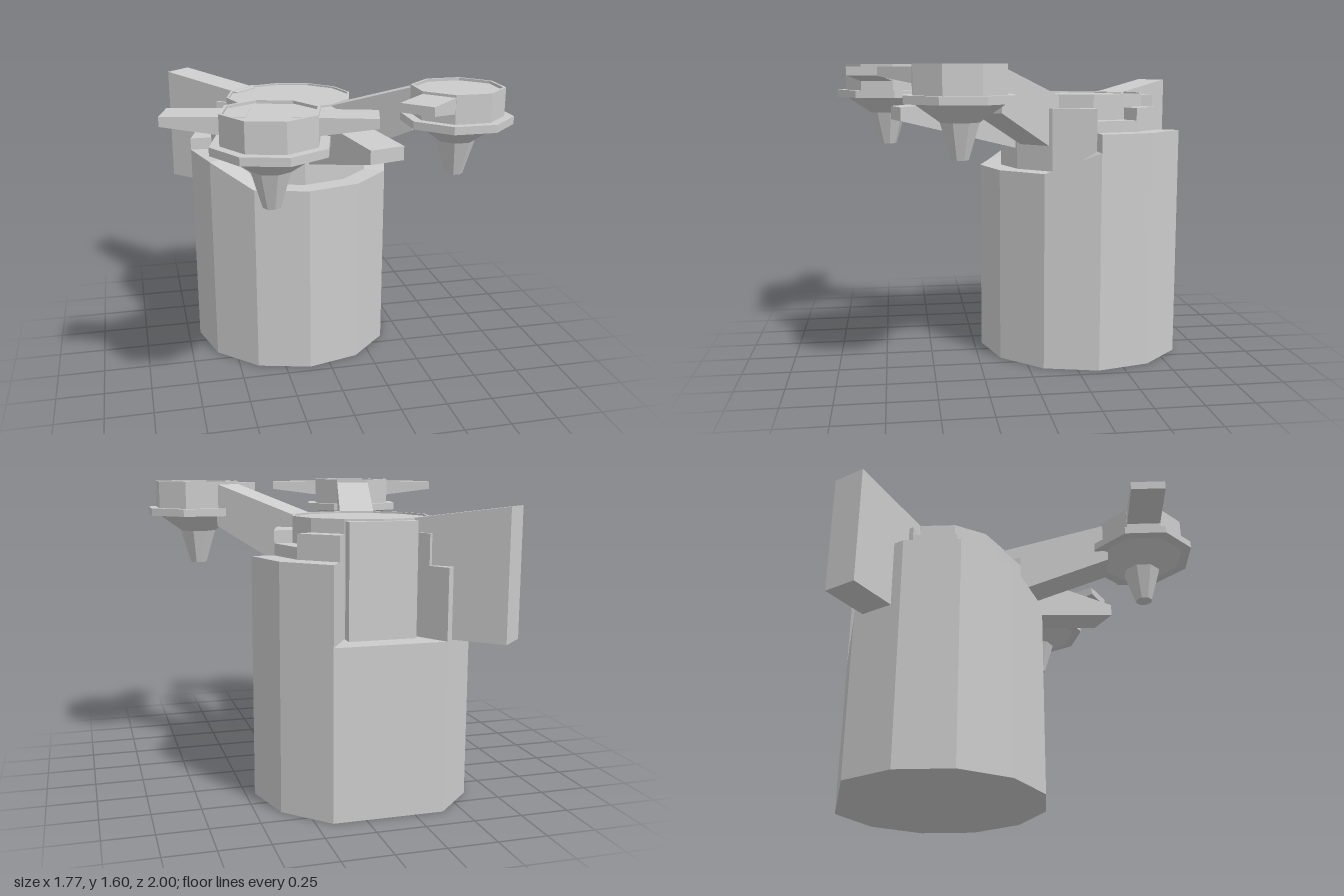
import * as THREE from 'three';

const material = new THREE.MeshStandardMaterial({ color: 0xcccccc, flatShading: true });
const CX = -0.115, CZ = -0.36; // axis of the drum
const rad = THREE.MathUtils.degToRad;

// Point at a distance and heading from a centre; heading 0 faces +z, 90 faces +x
const polar = (cx, cz, r, deg) => [cx + r * Math.sin(rad(deg)), cz + r * Math.cos(rad(deg))];

// Solid over a convex footprint; each corner is [x, z, bottomY, topY]
function prism(corners) {
  let area = 0;
  const n = corners.length;
  corners.forEach((p, i) => {
    const q = corners[(i + 1) % n];
    area += p[0] * q[1] - p[1] * q[0];
  });
  const c = area > 0 ? [...corners].reverse() : corners;
  const lo = (i) => [c[i % n][0], c[i % n][2], c[i % n][1]];
  const hi = (i) => [c[i % n][0], c[i % n][3], c[i % n][1]];
  const pos = [];
  for (let i = 0; i < n; i++) {
    pos.push(...lo(i), ...lo(i + 1), ...hi(i + 1), ...lo(i), ...hi(i + 1), ...hi(i));
    if (i > 0 && i < n - 1) {
      pos.push(...hi(0), ...hi(i), ...hi(i + 1), ...lo(0), ...lo(i + 1), ...lo(i));
    }
  }
  const g = new THREE.BufferGeometry();
  g.setAttribute('position', new THREE.Float32BufferAttribute(pos, 3));
  g.computeVertexNormals();
  return g;
}

// Radial bar from distance d0 to d1, with [bottom, top] heights at each end
function beam(cx, cz, deg, d0, d1, width, start, end) {
  const sx = Math.cos(rad(deg)) * width / 2, sz = -Math.sin(rad(deg)) * width / 2;
  const [ax, az] = polar(cx, cz, d0, deg);
  const [bx, bz] = polar(cx, cz, d1, deg);
  return prism([
    [ax - sx, az - sz, ...start], [ax + sx, az + sz, ...start],
    [bx + sx, bz + sz, ...end], [bx - sx, bz - sz, ...end],
  ]);
}

// 30 degree wall segment of a ring, with its top height at both ends
function segment(r0, r1, deg, bottom, h0, h1) {
  return prism([
    [...polar(CX, CZ, r0, deg), bottom, h0], [...polar(CX, CZ, r1, deg), bottom, h0],
    [...polar(CX, CZ, r1, deg + 30), bottom, h1], [...polar(CX, CZ, r0, deg + 30), bottom, h1],
  ]);
}

function lathe(profile, sides, start) {
  return new THREE.LatheGeometry(profile.map(([r, y]) => new THREE.Vector2(r, y)), sides, start);
}

export function createModel() {
  const model = new THREE.Group();
  const add = (name, geometry, parent = model) => {
    const mesh = new THREE.Mesh(geometry, material);
    mesh.name = name;
    parent.add(mesh);
    return mesh;
  };

  // Twelve-sided drum with a flat back
  const foot = [];
  for (let a = -150; a <= 150; a += 30) foot.push([...polar(CX, CZ, 0.567, a), 0, 0.86]);
  add('drum', prism(foot));

  // Outer wall: [heading, top at start, top at end]
  const outer = [
    [-150, 1.215, 1.215], [-120, 1.215, 1.215], [-90, 1.15, 1.15], [-60, 1.15, 1.04],
    [-30, 1.04, 1.04], [0, 1.04, 1.04], [30, 1.04, 1.04], [60, 1.04, 1.15],
    [90, 1.245, 1.245], [120, 1.245, 1.245],
  ];
  for (const [a, h0, h1] of outer) add('outerWall', segment(0.33, 0.567, a, 0.86, h0, h1));

  // Inner stepped collar
  const collar = [1.37, 1.32, 1.32, 1.32, 1.37, 1.37, 1.37, 1.37, 1.305, 1.37];
  collar.forEach((h, i) => add('collar', segment(0.3, 0.45, -150 + i * 30, 1.0, h, h)));

  // Hub with a slightly sunken cap
  const hub = add('hub', lathe(
    [[0, 0.86], [0.355, 0.86], [0.355, 1.44], [0.342, 1.44], [0.342, 1.43], [0, 1.43]], 12, 0));
  hub.position.set(CX, 0, CZ);
  const back = add('backBlock', new THREE.BoxGeometry(0.345, 0.57, 0.2));
  back.position.set(CX, 1.145, -0.63);

  // Upright fin at the rear
  add('rearFin', beam(CX, CZ, -135, 0.3, 0.82, 0.18, [0.86, 1.435], [0.86, 1.505]));

  // Arms reaching forward from the hub
  add('leftArm', beam(CX, CZ, 45, 0.33, 0.83, 0.185, [1.125, 1.43], [1.36, 1.588]));
  add('rightArm', beam(CX, CZ, -15, 0.33, 0.92, 0.185, [1.14, 1.43], [1.36, 1.588]));
  add('shortArm', beam(CX, CZ, 15, 0.33, 1.07, 0.185, [1.125, 1.43], [1.31, 1.38]));

  // Eight-sided pods with a flange, a tapered nozzle and flat prongs
  const k = 1 / Math.cos(Math.PI / 8);
  const profile = [
    [0, 1.145], [0.045, 1.145], [0.1, 1.325], [0.215 * k, 1.415], [0.265 * k, 1.415],
    [0.265 * k, 1.455], [0.22 * k, 1.455], [0.22 * k, 1.6], [0.206 * k, 1.6],
    [0.206 * k, 1.586], [0, 1.586],
  ];
  const pods = [
    { name: 'leftPod', x: 0.615, z: 0.375, turn: 0, prongs: [-45] },
    { name: 'rightPod', x: -0.4, z: 0.715, turn: -15, prongs: [75, -105] },
  ];
  for (const { name, x, z, turn, prongs } of pods) {
    const pod = new THREE.Group();
    pod.name = name;
    model.add(pod);
    const body = add('podBody', lathe(profile, 8, Math.PI / 8 + rad(turn)), pod);
    body.position.set(x, 0, z);
    for (const a of prongs) {
      add('prong', beam(x, z, a, 0.1, 0.485 - (prongs.length === 1 ? 0.03 : 0), 0.18,
        [1.49, 1.588], [1.54, 1.585]), pod);
    }
  }
  return model;
}
